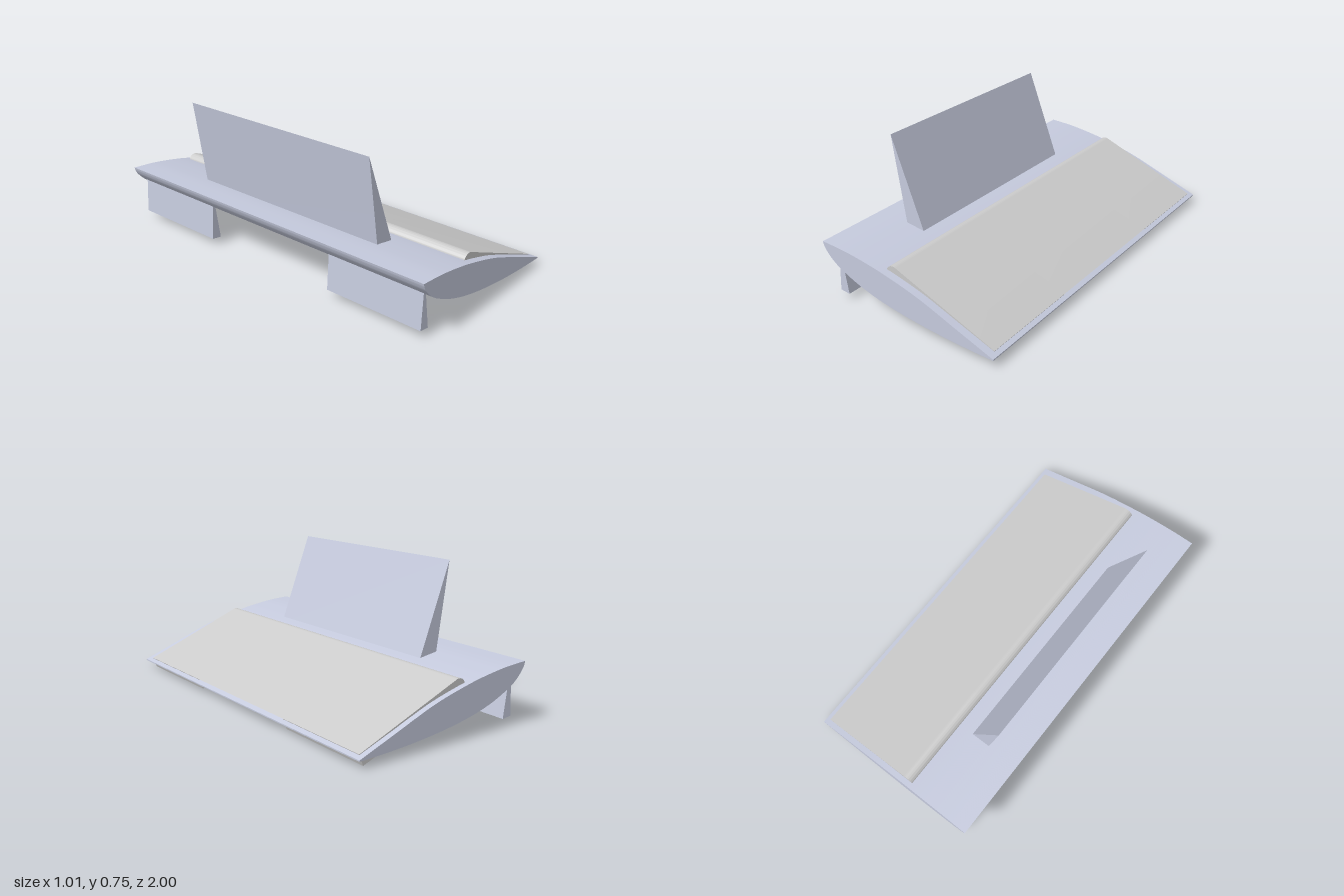
import * as THREE from 'three';
import { toCreasedNormals } from 'three/addons/utils/BufferGeometryUtils.js';

const bodyMaterial = new THREE.MeshStandardMaterial({ color: 0xc6cbde });
const panelMaterial = new THREE.MeshStandardMaterial({ color: 0xcccccc });

const points = (list) => list.map(([x, y]) => new THREE.Vector2(x, y));

// Extrudes a side profile across the span from z0 to z1
function span(name, shape, z0, z1, material) {
  const geometry = new THREE.ExtrudeGeometry(shape, { depth: z1 - z0, bevelEnabled: false, curveSegments: 24 });
  geometry.translate(0, 0, z0);
  const mesh = new THREE.Mesh(toCreasedNormals(geometry, 0.5), material);
  mesh.name = name;
  return mesh;
}

// Round-nosed slab profile, closed by the given tail points
function panelShape(tail) {
  const slope = Math.atan2(0.927, 0.376);
  const shape = new THREE.Shape();
  shape.absarc(-0.095, 0.25, 0.04, slope, slope + Math.PI, false);
  tail.forEach(([x, y]) => shape.lineTo(x, y));
  return shape;
}

export function createModel() {
  const model = new THREE.Group();
  model.name = 'wingModel';

  // Wing: blunt leading edge, thin trailing edge
  const wing = new THREE.Shape();
  wing.moveTo(0.505, 0.048);
  wing.lineTo(0.505, 0.042);
  wing.splineThru(points([
    [0.4, 0.045], [0.3, 0.05], [0.2, 0.057], [0.1, 0.067], [0, 0.08], [-0.1, 0.097], [-0.2, 0.12],
    [-0.3, 0.152], [-0.4, 0.198], [-0.45, 0.232], [-0.485, 0.269], [-0.5, 0.295], [-0.505, 0.312],
  ]));
  wing.splineThru(points([
    [-0.4, 0.306], [-0.325, 0.298], [-0.22, 0.282], [-0.13, 0.264], [0, 0.232],
    [0.1, 0.202], [0.2, 0.165], [0.3, 0.126], [0.4, 0.088], [0.505, 0.048],
  ]));
  model.add(span('wing', wing, -1, 1, bodyMaterial));

  // Raised fin on top
  const fin = new THREE.Shape(points([[-0.397, 0.755], [-0.325, 0.297], [-0.318, 0.25], [-0.206, 0.25]]));
  model.add(span('fin', fin, -0.585, 0.605, bodyMaterial));

  // Sloping panel, with a shorter underside between the two flaps
  const middle = panelShape([[0.385, 0.035], [0.4, 0.07], [0.482, 0.06]]);
  const flap = panelShape([[0.46, 0.004], [0.482, 0.06]]);
  model.add(span('panelMiddle', middle, -0.405, 0.4, panelMaterial));
  model.add(span('panelFlapFront', flap, 0.4, 0.96, panelMaterial));
  model.add(span('panelFlapBack', flap, -0.97, -0.405, panelMaterial));

  // Two tapered legs under the leading edge
  const leg = new THREE.Shape(points([[-0.443, 0.25], [-0.456, 0.041], [-0.401, 0.035], [-0.433, 0.25]]));
  model.add(span('frontLeg', leg, 0.41, 0.96, bodyMaterial));
  model.add(span('backLeg', leg, -0.97, -0.41, bodyMaterial));

  return model;
}
